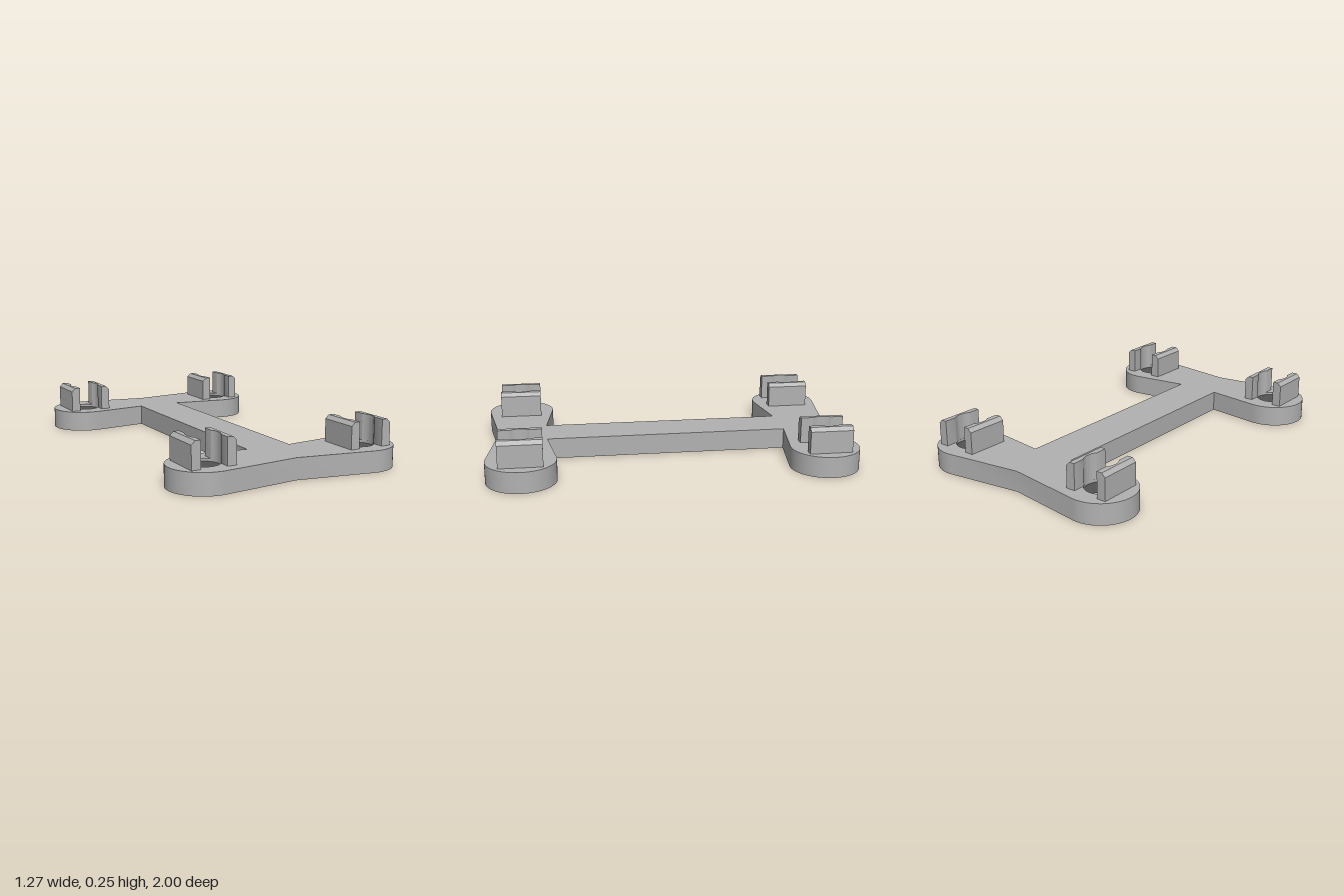
import * as THREE from 'three';
import { toCreasedNormals } from 'three/addons/utils/BufferGeometryUtils.js';

const H = 0.114;              // plate thickness
const CX = 0.45, CZ = 0.8135; // hole centres
const LOBE = 0.187, HOLE = 0.086, SINK = 0.168;

const crease = (g) => toCreasedNormals(g, 0.5);

// I-shaped outline with four round lobes
function outline() {
  const s = new THREE.Shape(), a = 1.712;
  const lobe = (sx, sz) => {
    const mid = sx > 0 ? 0 : Math.PI;
    s.absarc(sx * CX, sz * CZ, LOBE, mid - a, mid + a, false);
  };
  s.moveTo(0.125, -0.67);
  s.lineTo(0.125, 0.67);
  lobe(1, 1);
  s.lineTo(0, 0.937);
  lobe(-1, 1);
  s.lineTo(-0.125, 0.67);
  s.lineTo(-0.125, -0.67);
  lobe(-1, -1);
  s.lineTo(0, -0.937);
  lobe(1, -1);
  s.closePath();
  return s;
}

// Flat face of the plate with four holes of the given radius
function face(radius) {
  const s = outline();
  for (const x of [-CX, CX]) for (const z of [-CZ, CZ]) {
    s.holes.push(new THREE.Path().absarc(x, z, radius, 0, Math.PI * 2, true));
  }
  return new THREE.ShapeGeometry(s, 24);
}

// Outer wall only: the side group of an extrusion
function wall() {
  const e = new THREE.ExtrudeGeometry(outline(), { depth: H, bevelEnabled: false, curveSegments: 24 });
  const { start, count } = e.groups[1];
  const g = new THREE.BufferGeometry();
  const p = e.attributes.position.array.slice(start * 3, (start + count) * 3);
  g.setAttribute('position', new THREE.BufferAttribute(p, 3));
  return crease(g.rotateX(-Math.PI / 2));
}

// Upright clip, grooved by the hole and chamfered on its outer top edge
function prong() {
  const inner = 0.07, outer = 0.12, half = 0.116;
  const a = Math.acos(inner / HOLE);
  const s = new THREE.Shape();
  s.moveTo(inner, -half);
  s.lineTo(outer, -half);
  s.lineTo(outer, half);
  s.lineTo(inner, half);
  s.absarc(0, 0, HOLE, a, -a, true);
  s.closePath();
  const depth = 0.141;
  const g = new THREE.ExtrudeGeometry(s, { depth, steps: 2, bevelEnabled: false, curveSegments: 12 });
  const p = g.attributes.position;
  for (let i = 0; i < p.count; i++) {
    const z = p.getZ(i);
    if (z > 0.1) {
      if (p.getX(i) > 0.11) p.setX(i, 0.1);
    } else if (z > 0.01) p.setZ(i, 0.121);
  }
  return crease(g.rotateX(-Math.PI / 2));
}

export function createModel() {
  const group = new THREE.Group();
  const grey = new THREE.MeshStandardMaterial({ color: 0xb2b2b2 });
  grey.name = 'grey plastic';
  const add = (name, geometry, parent = group) => {
    const m = new THREE.Mesh(geometry, grey);
    m.name = name;
    parent.add(m);
    return m;
  };

  // Plate
  add('plateTop', face(HOLE).rotateX(-Math.PI / 2).translate(0, H, 0));
  add('plateBottom', face(SINK).rotateX(Math.PI / 2));
  add('plateWall', wall());

  // Countersunk bore, profile running downwards so it faces the axis
  const bore = crease(new THREE.LatheGeometry([
    new THREE.Vector2(HOLE, H),
    new THREE.Vector2(HOLE, 0.1),
    new THREE.Vector2(SINK, 0),
  ], 48));
  const clip = prong();

  // A bore and two clips at each corner
  for (const x of [-CX, CX]) for (const z of [-CZ, CZ]) {
    const mount = new THREE.Group();
    mount.name = 'mount';
    mount.position.set(x, 0, z);
    add('bore', bore, mount);
    for (const turn of [0, Math.PI]) {
      const c = add('prong', clip, mount);
      c.position.y = H;
      c.rotation.y = turn;
    }
    group.add(mount);
  }
  return group;
}
